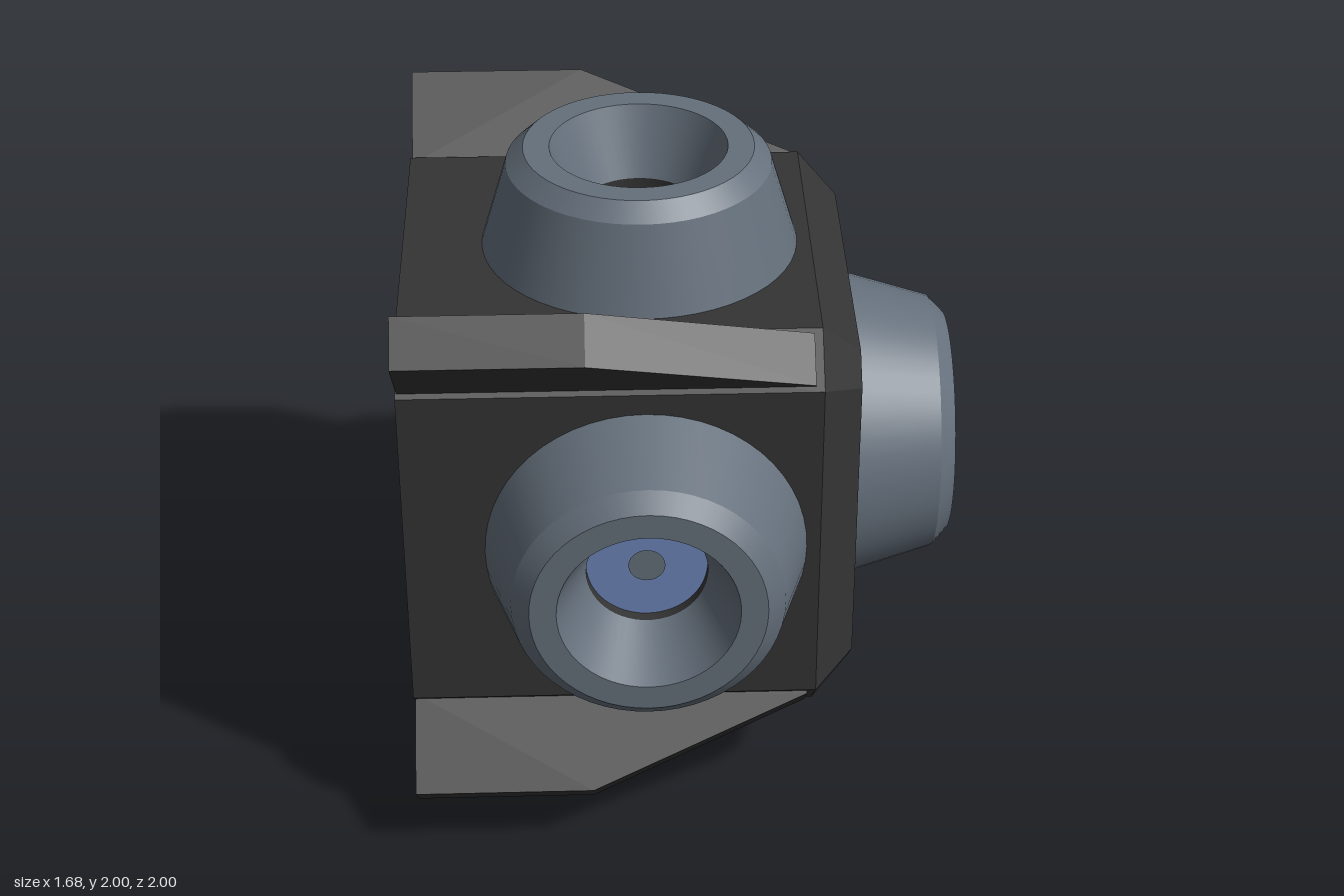
import * as THREE from 'three';
import { mergeGeometries } from 'three/addons/utils/BufferGeometryUtils.js';

const hull = new THREE.MeshStandardMaterial({ name: 'dark hull', color: 0x343434, side: THREE.DoubleSide });
const metal = new THREE.MeshStandardMaterial({ name: 'nozzle grey', color: 0x65707c, side: THREE.DoubleSide });
const blue = new THREE.MeshStandardMaterial({ name: 'emitter blue', color: 0x6e86bb });

function addMesh(parent, name, geometry, material) {
  const mesh = new THREE.Mesh(geometry, material);
  mesh.name = name;
  parent.add(mesh);
  return mesh;
}

// Octagon in the y-z plane: half width h, corner cut starting at c
const octagon = (x, h, c) => [[h, -c], [h, c], [c, h], [-c, h], [-h, c], [-h, -c], [-c, -h], [c, -h]]
  .map(([y, z]) => [x, y, z]);

// Hollow hull with bevelled front, open at -x
function hullGeometry() {
  const rings = [octagon(-0.84, 0.68, 0.545), octagon(0.4, 0.68, 0.545), octagon(0.52, 0.56, 0.48)];
  const pos = [];
  for (let i = 0; i < 8; i++) {
    const j = (i + 1) % 8;
    for (let k = 0; k < 2; k++) {
      const [a, b, c, d] = [rings[k][i], rings[k][j], rings[k + 1][j], rings[k + 1][i]];
      pos.push(...a, ...b, ...c, ...a, ...c, ...d);
    }
    pos.push(0.52, 0, 0, ...rings[2][i], ...rings[2][j]);
  }
  const geometry = new THREE.BufferGeometry();
  geometry.setAttribute('position', new THREE.Float32BufferAttribute(pos, 3));
  geometry.computeVertexNormals();
  return geometry;
}

// Revolved profile with a sharp edge at every point
function creasedLathe(points) {
  const p = points.map(([r, y]) => new THREE.Vector2(r, y));
  return mergeGeometries(p.slice(1).map((q, i) => new THREE.LatheGeometry([p[i], q], 56)));
}

// Nozzle pointing along +y, rim at y = 1
function createNozzle() {
  const nozzle = new THREE.Group();
  nozzle.name = 'nozzle';
  addMesh(nozzle, 'nozzleBell', creasedLathe(
    [[0.484, 0.665], [0.4, 0.95], [0.347, 1], [0.268, 1], [0.18, 0.79]]), metal);
  addMesh(nozzle, 'nozzleThroat', creasedLathe([[0.18, 0.79], [0.18, 0.75]]), hull);
  addMesh(nozzle, 'nozzleBackPlate', creasedLathe([[0, 0.665], [0.484, 0.665]]), hull);
  addMesh(nozzle, 'emitterDisc', new THREE.CircleGeometry(0.18, 48).rotateX(-Math.PI / 2).translate(0, 0.755, 0), blue);
  addMesh(nozzle, 'emitterCentre', new THREE.CircleGeometry(0.055, 24).rotateX(-Math.PI / 2).translate(0, 0.76, 0), metal);
  return nozzle;
}

export function createModel() {
  const model = new THREE.Group();
  model.name = 'thrusterBlock';
  const body = new THREE.Group();
  body.name = 'body';
  body.position.y = 1;
  model.add(body);

  addMesh(body, 'hullShell', hullGeometry(), hull);

  // Four nozzles around the sides
  for (let i = 0; i < 4; i++) {
    const nozzle = createNozzle();
    nozzle.position.x = -0.12;
    nozzle.rotation.x = i * Math.PI / 2;
    body.add(nozzle);
  }
  // One nozzle on the closed end
  const end = createNozzle();
  end.position.x = -0.16;
  end.rotation.z = -Math.PI / 2;
  body.add(end);

  // Diagonal fins on the four long edges
  const outline = new THREE.Shape([[-0.835, 0.85], [0.375, 0.85], [0.375, 0.875], [-0.29, 1.16], [-0.835, 1.16]]
    .map(([x, y]) => new THREE.Vector2(x, y)));
  const finGeometry = new THREE.ExtrudeGeometry(outline, { depth: 0.156, bevelEnabled: false }).translate(0, 0, -0.078);
  for (let i = 0; i < 4; i++) {
    addMesh(body, 'fin', finGeometry, hull).rotation.x = Math.PI / 4 + i * Math.PI / 2;
  }
  return model;
}
